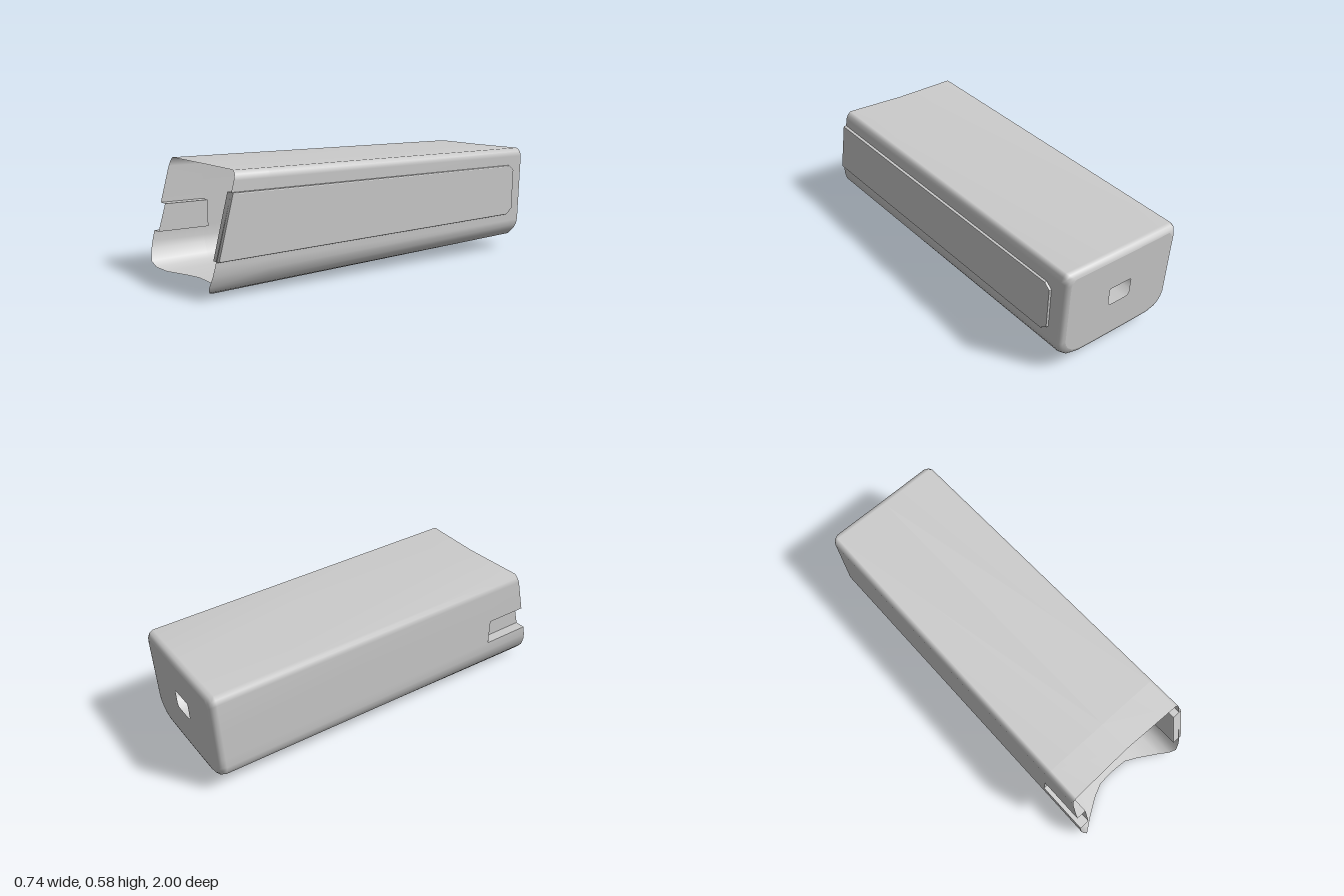
import * as THREE from 'three';

const material = new THREE.MeshStandardMaterial({ color: 0xcccccc, side: THREE.DoubleSide });
const lerp = THREE.MathUtils.lerp;

// Sleeve outline, counter-clockwise from the top middle: front x, y, z, then back x, y
const outline = [
  [0, 0.578, 0.855, -0.03, 0.578],
  [-0.345, 0.58, 0.865, -0.345, 0.58],
  [-0.363, 0.562, 0.868, -0.363, 0.562],
  [-0.37, 0.535, 0.876, -0.37, 0.535],
  [-0.37, 0.35, 0.925, -0.37, 0.35],
  [-0.37, 0.21, 0.965, -0.37, 0.21],
  [-0.37, 0.155, 0.978, -0.37, 0.16],
  [-0.362, 0.115, 0.988, -0.362, 0.13],
  [-0.34, 0.06, 1, -0.345, 0.1],
  [-0.315, 0.03, 0.985, -0.32, 0.08],
  [-0.265, 0.012, 0.95, -0.27, 0.065],
  [-0.16, 0.005, 0.885, -0.16, 0.063],
  [-0.09, 0.002, 0.855, -0.1, 0.063],
  [0, 0, 0.85, -0.03, 0.063],
  [0.09, 0.002, 0.855, 0.04, 0.063],
  [0.15, 0.005, 0.885, 0.1, 0.063],
  [0.255, 0.012, 0.95, 0.205, 0.065],
  [0.3, 0.03, 0.985, 0.257, 0.08],
  [0.33, 0.06, 1, 0.288, 0.11],
  [0.345, 0.11, 0.988, 0.305, 0.14],
  [0.35, 0.155, 0.978, 0.31, 0.17],
  [0.35, 0.535, 0.876, 0.31, 0.535],
  [0.343, 0.562, 0.868, 0.303, 0.562],
  [0.325, 0.58, 0.865, 0.285, 0.58],
];
const NOTCH = 4; // outline segment holding the side notch
const NOTCH_Z = 0.69;

// The back end leans slightly
const lean = (y) => 0.02 * (0.58 - y) / 0.52;

// One ring of the sleeve at depth z, or along the shaped front rim when z is null
function ring(z, inset = 0) {
  return outline.map(([fx, fy, fz, bx, by]) => {
    const pz = z === null ? fz : z;
    const t = z === null ? 1 : Math.max(0, (pz + 1) / (fz + 1));
    let x = lerp(bx, fx, t), y = lerp(by, fy, t);
    x = -0.03 + (x + 0.03) * (1 - inset / 0.34);
    y = 0.32 + (y - 0.32) * (1 - inset / 0.26);
    return [x, y, z !== null && z < -0.9 ? pz + lean(y) : pz];
  });
}

function geometryFrom(points, index) {
  const g = new THREE.BufferGeometry();
  g.setAttribute('position', new THREE.Float32BufferAttribute(points.flat(), 3));
  g.setIndex(index);
  g.computeVertexNormals();
  return g;
}

function addMesh(group, name, geometry) {
  const mesh = new THREE.Mesh(geometry, material);
  mesh.name = name;
  group.add(mesh);
}

// Walls: rings lofted from the rounded back edge to the front rim
function sleeveWalls() {
  const rings = [
    ring(-1, 0.032), ring(-0.996, 0.018), ring(-0.984, 0.006),
    ring(-0.965), ring(NOTCH_Z), ring(null),
  ];
  const n = outline.length, index = [];
  for (let r = 0; r < rings.length - 1; r++) {
    for (let i = 0; i < n; i++) {
      if (r === rings.length - 2 && i === NOTCH) continue;
      const a = r * n + i, b = r * n + (i + 1) % n;
      index.push(a, a + n, b, b, a + n, b + n);
    }
  }
  return geometryFrom(rings.flat(), index);
}

// Back wall with a rounded window
function backWall() {
  const shape = new THREE.Shape(ring(-1, 0.032).map(([x, y]) => new THREE.Vector2(x, y)));
  const hole = new THREE.Path();
  const l = -0.098, r = 0.032, b = 0.28, t = 0.38, c = 0.022, s = 0.007;
  hole.moveTo(l + c, b);
  hole.lineTo(r - c, b);
  hole.quadraticCurveTo(r, b, r, b + c);
  hole.lineTo(r, t - s);
  hole.quadraticCurveTo(r, t, r - s, t);
  hole.lineTo(l + s, t);
  hole.quadraticCurveTo(l, t, l, t - s);
  hole.lineTo(l, b + c);
  hole.quadraticCurveTo(l, b, l + c, b);
  shape.holes.push(hole);
  const g = new THREE.ShapeGeometry(shape, 5);
  const p = g.attributes.position;
  for (let i = 0; i < p.count; i++) p.setZ(i, -1 + lean(p.getY(i)));
  // Face outwards
  const index = g.index.array;
  for (let i = 0; i < index.length; i += 3) [index[i], index[i + 1]] = [index[i + 1], index[i]];
  g.computeVertexNormals();
  return g;
}

// Recessed channel behind the notch: floor, top, bottom and end
function notchChannel() {
  const [, top, zTop] = outline[NOTCH], [, bottom, zBottom] = outline[NOTCH + 1];
  const out = -0.37, inn = -0.315;
  const corner = (x, y, front) => [x, y, front ? (y === top ? zTop : zBottom) : NOTCH_Z];
  const faces = [
    [corner(inn, bottom, 0), corner(inn, bottom, 1), corner(inn, top, 1), corner(inn, top, 0)],
    [corner(out, top, 0), corner(out, top, 1), corner(inn, top, 1), corner(inn, top, 0)],
    [corner(out, bottom, 0), corner(inn, bottom, 0), corner(inn, bottom, 1), corner(out, bottom, 1)],
    [corner(out, bottom, 0), corner(inn, bottom, 0), corner(inn, top, 0), corner(out, top, 0)],
  ];
  const index = faces.flatMap((f, i) => [0, 1, 2, 0, 2, 3].map((k) => i * 4 + k));
  return geometryFrom(faces.flat(), index);
}

// Long side panel, slanted to follow the tapering wall
function sidePanel() {
  const bevel = 0.006;
  const side = [
    [0.968, 0.178], [-0.86, 0.207], [-0.9, 0.24], [-0.907, 0.46], [-0.875, 0.487], [0.89, 0.484],
  ];
  const shape = new THREE.Shape(side.map(([z, y]) => new THREE.Vector2(-z, y)));
  const g = new THREE.ExtrudeGeometry(shape, {
    depth: 0.06 - 2 * bevel, bevelEnabled: true, bevelSize: bevel,
    bevelThickness: bevel, bevelOffset: -bevel, bevelSegments: 2,
  });
  g.translate(0, 0, bevel);
  g.rotateY(Math.PI / 2);
  const p = g.attributes.position;
  for (let i = 0; i < p.count; i++) {
    p.setX(i, p.getX(i) + lerp(0.265, 0.31, (p.getZ(i) + 0.907) / 1.875));
  }
  g.computeVertexNormals();
  return g;
}

export function createModel() {
  const model = new THREE.Group();
  model.name = 'sleeve';
  addMesh(model, 'sleeveWalls', sleeveWalls());
  addMesh(model, 'backWall', backWall());
  addMesh(model, 'notchChannel', notchChannel());
  addMesh(model, 'sidePanel', sidePanel());
  return model;
}
